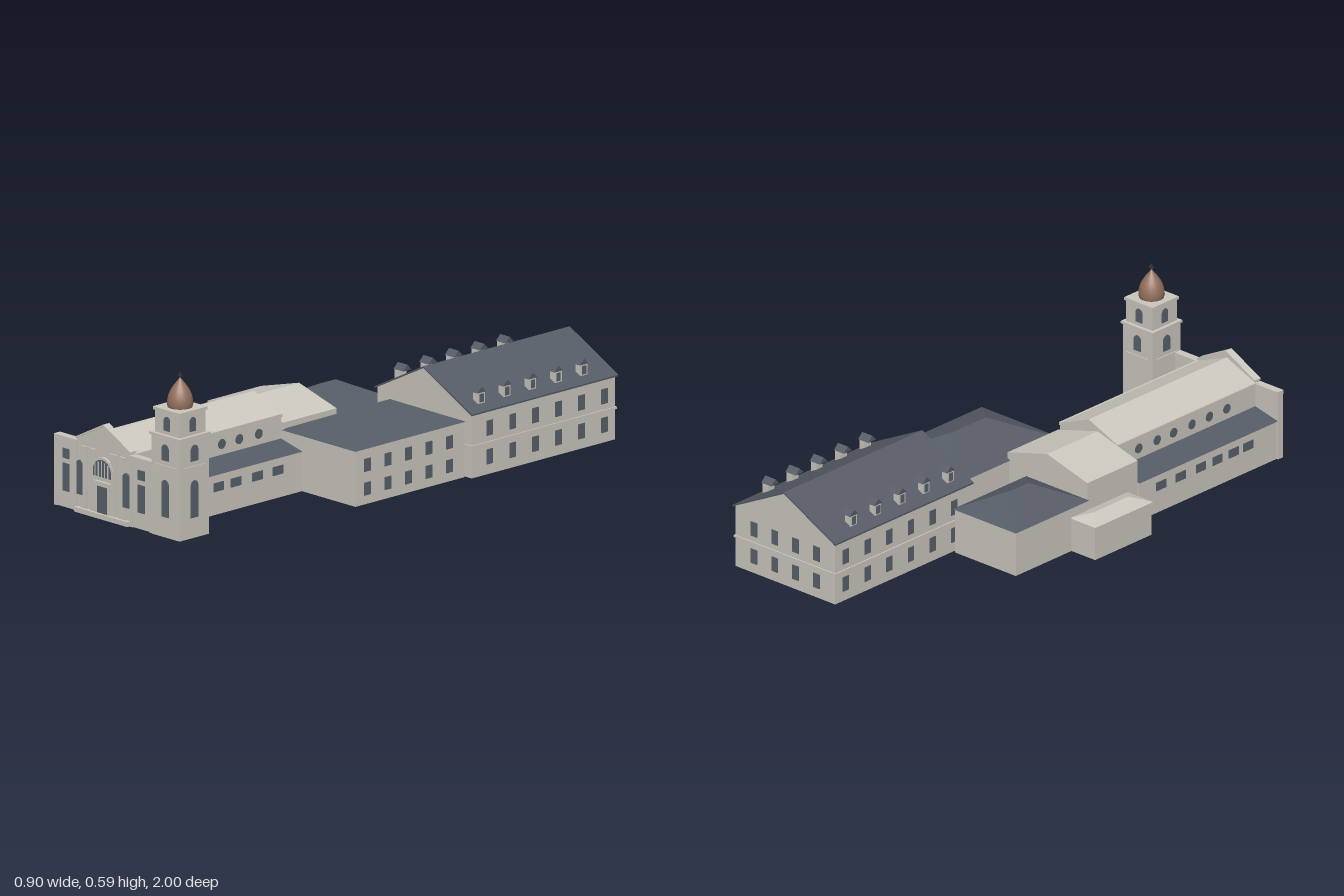
import * as THREE from 'three';

const mat = (name, color) => new THREE.MeshStandardMaterial({ name, color, side: THREE.DoubleSide });

export function createModel() {
  const root = new THREE.Group();
  root.name = 'churchComplex';
  const stone = mat('paleStone', 0xcbc8bf), slate = mat('slate', 0x565c66);
  const glass = mat('darkGlass', 0x59616b), copper = mat('copper', 0x94705d), iron = mat('iron', 0x3c3c3e);

  const add = (name, geo, m, x = 0, y = 0, z = 0, parent = root) => {
    const mesh = new THREE.Mesh(geo, m);
    mesh.name = name;
    mesh.position.set(x, y, z);
    parent.add(mesh);
    return mesh;
  };
  // Box given by its limits
  const box = (name, x0, x1, y0, y1, z0, z1, m = stone, parent = root) =>
    add(name, new THREE.BoxGeometry(x1 - x0, y1 - y0, z1 - z0), m, (x0 + x1) / 2, (y0 + y1) / 2, (z0 + z1) / 2, parent);
  // Flat polygons, each a loop of corners
  const polys = (name, faces, m) => {
    const pos = [];
    for (const f of faces)
      for (let i = 1; i < f.length - 1; i++) pos.push(...f[0], ...f[i], ...f[i + 1]);
    const g = new THREE.BufferGeometry();
    g.setAttribute('position', new THREE.Float32BufferAttribute(pos, 3));
    g.computeVertexNormals();
    return add(name, g, m);
  };
  // Open-bottomed gabled hall with its ridge along z
  const gabled = (name, x0, x1, xr, z0, z1, yb, ye, yr) => {
    const p = [[x1, yb], [x1, ye], [xr, yr], [x0, ye], [x0, yb]];
    const faces = [p.map(([x, y]) => [x, y, z1]), p.map(([x, y]) => [x, y, z0]).reverse()];
    for (let i = 0; i < 4; i++) {
      const [a, b] = [p[i], p[i + 1]];
      faces.push([[...a, z1], [...a, z0], [...b, z0], [...b, z1]]);
    }
    return polys(name, faces, stone);
  };
  // Four walls without floor or lid
  const walls = (name, x0, x1, z0, z1, h) => {
    const c = [[x0, z1], [x1, z1], [x1, z0], [x0, z0]];
    return polys(name, c.map(([x, z], i) => {
      const [u, w] = c[(i + 1) % 4];
      return [[x, 0, z], [u, 0, w], [u, h, w], [x, h, z]];
    }), stone);
  };
  // Hipped roof with its ridge along z
  const hip = (name, x0, x1, z0, z1, y, yr, r0, r1, m) => {
    const a = [x0, y, z0], b = [x1, y, z0], c = [x1, y, z1], d = [x0, y, z1];
    const xr = (x0 + x1) / 2, e = [xr, yr, r0], f = [xr, yr, r1];
    return polys(name, [[d, c, f], [c, b, e, f], [b, a, e], [a, d, f, e]], m);
  };
  // Thin plate, rectangular or round-headed, standing on y and facing angle rot
  const outline = (w, h, arch) => {
    const s = new THREE.Shape(), r = w / 2;
    s.moveTo(-r, 0).lineTo(r, 0);
    if (arch) s.lineTo(r, h - r).absarc(0, h - r, r, 0, Math.PI, false);
    else s.lineTo(r, h).lineTo(-r, h);
    s.closePath();
    return s;
  };
  const plate = (name, x, y, z, w, h, rot = 0, arch = false, m = glass, depth = 0.003) => {
    const g = new THREE.ExtrudeGeometry(outline(w, h, arch), { depth, bevelEnabled: false, curveSegments: 10 });
    const p = add(name, g, m, x, y, z);
    p.rotation.y = rot;
    return p;
  };
  const RIGHT = Math.PI / 2, LEFT = -Math.PI / 2, BACK = Math.PI;

  // Nave and lean-to aisles
  const cx = -0.098;
  gabled('naveWalls', -0.235, 0.039, cx, 0.25, 0.975, 0, 0.262, 0.318);
  for (const s of [1, -1]) {
    const inX = cx + s * 0.137, outX = cx + s * 0.24, eave = cx + s * 0.246;
    const lo = Math.min(inX, outX), hi = Math.max(inX, outX);
    walls('aisleWalls', lo, hi, 0.25, 0.97, 0.146);
    polys('aisleCeiling', [[[inX, 0.146, 0.25], [outX, 0.146, 0.25], [outX, 0.146, 0.97], [inX, 0.146, 0.97]]], stone);
    polys('aisleRoof', [[[inX, 0.172, 0.25], [eave, 0.147, 0.25], [eave, 0.147, 0.97], [inX, 0.172, 0.97]],
      [[inX, 0.172, 0.25], [eave, 0.147, 0.25], [inX, 0.147, 0.25]]], slate);
    box('naveCornice', inX - 0.006, inX + 0.006, 0.252, 0.263, 0.25, 0.97);
    const rot = s > 0 ? RIGHT : LEFT;
    for (const z of [0.815, 0.74, 0.655, 0.57, 0.465, 0.365]) plate('aisleWindow', outX, 0.085, z, 0.05, 0.032, rot);
    for (const z of [0.815, 0.725, 0.635, 0.54, 0.455, 0.36]) {
      const w = add('roundWindow', new THREE.CylinderGeometry(0.018, 0.018, 0.005, 20), glass, inX, 0.212, z);
      w.rotation.z = Math.PI / 2;
    }
  }

  // Chancel, sacristy, side chapel
  gabled('chancel', -0.333, 0.05, -0.14, -0.01, 0.25, 0, 0.232, 0.285);
  walls('sacristyWalls', -0.337, -0.046, -0.384, -0.014, 0.17);
  hip('sacristyRoof', -0.343, -0.04, -0.39, -0.01, 0.168, 0.24, -0.238, -0.162, slate);
  walls('chapelWalls', -0.45, -0.335, -0.096, 0.196, 0.128);
  hip('chapelRoof', -0.455, -0.33, -0.1, 0.2, 0.127, 0.149, -0.04, 0.14, stone);

  // Middle wing with hipped roof
  walls('middleWingWalls', 0.042, 0.413, -0.285, 0.247, 0.206);
  hip('middleWingRoof', 0.037, 0.418, -0.288, 0.252, 0.204, 0.285, -0.1, 0.068, slate);
  for (let i = 0; i < 5; i++)
    for (const y of [0.033, 0.12]) plate('middleWingWindow', 0.413, y, 0.19 - i * 0.1, 0.03, 0.047, RIGHT);

  // Rear wing: gabled walls, floor band, slate slopes
  const rx = 0.204;
  gabled('rearWingWalls', -0.035, 0.443, rx, -0.992, -0.292, 0, 0.236, 0.357);
  box('floorBand', -0.04, 0.448, 0.112, 0.12, -0.997, -0.287);
  for (const s of [1, -1]) {
    const ex = rx + s * 0.246, side = s > 0 ? RIGHT : LEFT;
    const top = [[rx, 0.362], [ex, 0.237], [ex, 0.231], [rx, 0.356]];
    const faces = top.map((a, i) => {
      const b = top[(i + 1) % 4];
      return [[...a, -1], [...b, -1], [...b, -0.285], [...a, -0.285]];
    });
    for (const z of [-1, -0.285]) faces.push(top.map(([x, y]) => [x, y, z]));
    polys('rearRoofSlope', faces, slate);
    for (let i = 0; i < 6; i++)
      for (const y of [0.037, 0.142]) plate('rearWingWindow', rx + s * 0.239, y, -0.378 - i * 0.112, 0.03, 0.055, side);
    // Dormers
    for (let i = 0; i < 5; i++) {
      const z = -0.366 - i * 0.125, a = rx + s * 0.186, b = rx + s * 0.211;
      box('dormerWalls', Math.min(a, b), Math.max(a, b), 0.245, 0.296, z - 0.017, z + 0.017);
      plate('dormerWindow', b, 0.26, z, 0.018, 0.03, side);
      const c = rx + s * 0.213, d = rx + s * 0.165;
      const tri = (x) => [[x, 0.295, z - 0.021], [x, 0.316, z], [x, 0.295, z + 0.021]];
      const p = tri(c), q = tri(d);
      polys('dormerRoof', [p, q, [p[0], p[1], q[1], q[0]], [p[1], p[2], q[2], q[1]], [p[2], p[0], q[0], q[2]]], slate);
    }
  }
  for (const x of [-0.15, -0.05, 0.05, 0.15])
    for (const y of [0.037, 0.142]) plate('rearGableWindow', rx + x, y, -0.992, 0.03, 0.055, BACK);

  // Facade wall with central gable
  const fz = 0.983;
  const front = new THREE.Shape([[-0.345, 0], [0.149, 0], [0.149, 0.25], [0.039, 0.25], [0.039, 0.268], [cx, 0.34],
    [-0.235, 0.268], [-0.235, 0.25], [-0.345, 0.25]].map(([x, y]) => new THREE.Vector2(x, y)));
  add('facadeWall', new THREE.ExtrudeGeometry(front, { depth: 0.02, bevelEnabled: false }), stone, 0, 0, fz - 0.02);
  const coping = new THREE.Shape([[-0.237, 0.266], [cx, 0.338], [0.041, 0.266], [0.041, 0.273], [cx, 0.345],
    [-0.237, 0.273]].map(([x, y]) => new THREE.Vector2(x, y)));
  add('gableCoping', new THREE.ExtrudeGeometry(coping, { depth: 0.03, bevelEnabled: false }), stone, 0, 0, fz - 0.025);
  box('frontStep', cx - 0.135, cx + 0.135, 0, 0.018, fz, 0.999);
  for (const s of [1, -1]) {
    const wx = cx + s * 0.191;
    box('wingCornice', wx - 0.057, wx + 0.057, 0.246, 0.261, fz - 0.024, fz + 0.006);
    // Raised border around each wing panel
    for (const e of [-0.049, 0.049]) plate('wingPilaster', wx + e, 0, fz, 0.014, 0.246, 0, false, stone, 0.005);
    plate('wingUpperWindow', wx, 0.18, fz, 0.034, 0.036);
    plate('wingLowerWindow', wx, 0.06, fz, 0.034, 0.102);
    plate('archedWindow', cx + s * 0.117, 0.065, fz, 0.029, 0.126, 0, true, glass, 0.008);
    for (const e of [0.097, 0.052]) plate('centralPilaster', cx + s * e, 0.018, fz, 0.031, 0.228, 0, false, stone, 0.006);
  }
  // Doorway and lunette
  plate('doorFrame', cx, 0.018, fz, 0.07, 0.11, 0, false, stone, 0.008);
  plate('door', cx, 0.02, fz + 0.007, 0.048, 0.097);
  box('doorLintel', cx - 0.045, cx + 0.045, 0.127, 0.135, fz, fz + 0.012);
  plate('lunetteFrame', cx, 0.146, fz, 0.106, 0.079, 0, true, stone, 0.009);
  plate('lunetteWindow', cx, 0.153, fz + 0.008, 0.09, 0.063, 0, true);
  for (let i = -2; i <= 2; i++) {
    const x = cx + i * 0.016;
    box('lunetteMullion', x - 0.0018, x + 0.0018, 0.153, 0.213 - Math.abs(i) * 0.006, fz + 0.008, fz + 0.013);
  }

  // Bell tower
  const tx = 0.223, tz = 0.92;
  const stage = (name, half, y0, y1) => box(name, tx - half, tx + half, y0, y1, tz - half, tz + half);
  walls('towerShaft', tx - 0.0715, tx + 0.0715, tz - 0.0715, tz + 0.0715, 0.367);
  stage('towerCornice', 0.077, 0.366, 0.375);
  stage('belfry', 0.063, 0.375, 0.456);
  stage('belfryCornice', 0.068, 0.456, 0.467);
  [0, RIGHT, BACK, LEFT].forEach((rot, i) => {
    const at = (d) => [tx + Math.sin(rot) * d, tz + Math.cos(rot) * d];
    const [x, z] = at(0.0715), [u, w] = at(0.063);
    if (i < 2) plate('towerTallWindow', x, 0.075, z, 0.034, 0.136, rot, true);
    plate('towerWindow', x, 0.282, z, 0.034, 0.059, rot, true);
    plate('belfryWindow', u, 0.389, w, 0.03, 0.052, rot, true);
    plate('towerBand', x, 0.255, z, 0.104, 0.009, rot, false, stone, 0.004);
  });
  const dome = [[0.044, 0], [0.047, 0.012], [0.0455, 0.028], [0.041, 0.046], [0.033, 0.063], [0.023, 0.078],
    [0.012, 0.092], [0.005, 0.101], [0, 0.109]].map(([r, y]) => new THREE.Vector2(r, y));
  add('dome', new THREE.LatheGeometry(dome, 20), copper, tx, 0.467, tz);
  box('crossPost', tx - 0.002, tx + 0.002, 0.57, 0.594, tz - 0.002, tz + 0.002, iron);
  box('crossArm', tx - 0.011, tx + 0.011, 0.579, 0.583, tz - 0.002, tz + 0.002, iron);
  return root;
}
